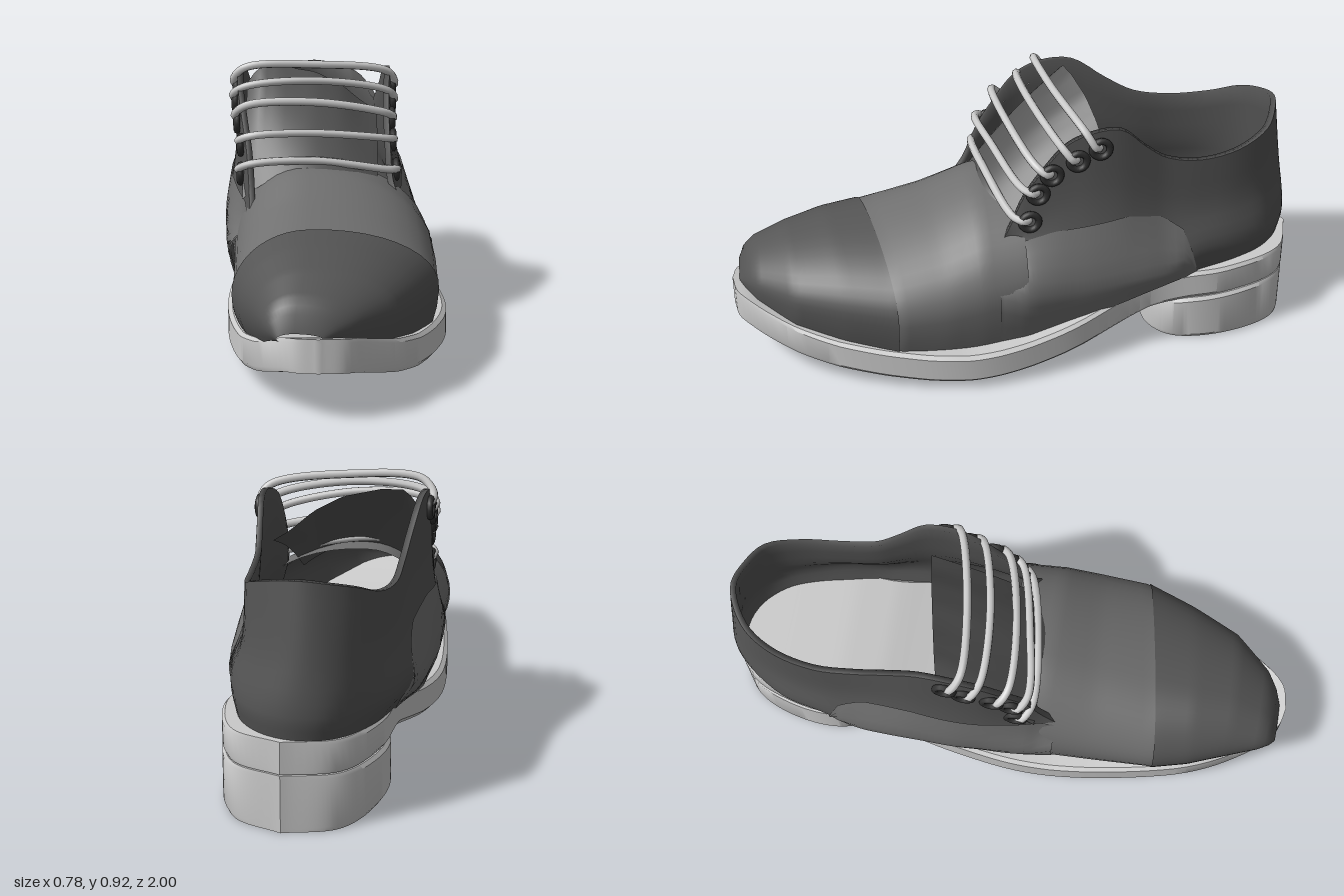
import * as THREE from 'three';
import { toCreasedNormals } from 'three/addons/utils/BufferGeometryUtils.js';

const { lerp } = THREE.MathUtils;
const V = (x, y, z) => new THREE.Vector3(x, y, z);
const spline = pts => new THREE.CatmullRomCurve3(pts);

// Rows [z, a, b, ...] with falling z, interpolated at z
function lookup(rows, z) {
  if (z >= rows[0][0]) return rows[0].slice(1);
  for (let i = 1; i < rows.length; i++) {
    const [a, b] = [rows[i - 1], rows[i]];
    if (z >= b[0]) return a.slice(1).map((v, k) => lerp(v, b[k + 1], (a[0] - z) / (a[0] - b[0])));
  }
  return rows[rows.length - 1].slice(1);
}

// Surface from a rule fn(u, v) -> Vector3
function grid(fn, nu, nv) {
  const g = new THREE.PlaneGeometry(1, 1, nu, nv), p = g.attributes.position;
  for (let j = 0, k = 0; j <= nv; j++)
    for (let i = 0; i <= nu; i++, k++) p.setXYZ(k, ...fn(i / nu, j / nv).toArray());
  g.computeVertexNormals();
  return g;
}

const soleRows = [[1, .157], [.95, .147], [.9, .128], [.8, .095], [.65, .063], [.5, .043], [.35, .03], [.2, .024], [.1, .03],
  [0, .041], [-.1, .058], [-.2, .08], [-.32, .112], [-.45, .15], [-.6, .175], [-.8, .187], [-1, .195]];
const soleBottom = z => lookup(soleRows, z)[0];
const soleTop = z => soleBottom(z) + .108;

// Slab between two outlines of [x, z] points that share their end points
function slab(left, right, top, bottom) {
  const [L, R] = [left, right].map(a => spline(a.map(([x, z]) => V(x, 0, z))));
  const ring = [[0, .015, 0], [.02, 0, 0], [.5, 0, 0], [.98, 0, 0], [1, .015, 0], [1, -.012, 1],
    [.98, 0, 1], [.02, 0, 1], [0, -.012, 1], [0, .015, 0]];
  const g = grid((u, v) => {
    const [k, dy, up] = ring[Math.round(u * (ring.length - 1))];
    const p = L.getPoint(v).lerp(R.getPoint(v), k);
    p.y = (up ? top(p.z) : bottom(p.z)) + dy;
    return p;
  }, ring.length - 1, 72);
  return toCreasedNormals(g, .6);
}

// Arched sections of the front: [z, left x, right x, top y]
const archRows = [[.975, -.15, -.02, .27], [.96, -.17, .02, .32], [.92, -.195, .085, .365], [.8, -.235, .205, .42],
  [.65, -.285, .285, .455], [.5, -.318, .35, .472], [.3, -.33, .35, .525], [.15, -.34, .342, .585], [0, -.36, .325, .6]];
function arch(u, z, grow = 0) {
  const [xl, xr, top] = lookup(archRows, z);
  const base = soleTop(z) - .01, wide = lerp(base, top, .38);
  const a = Math.PI * lerp(1.18, -.1, u), c = Math.cos(a), s = Math.sin(a);
  const ax = lerp(xl, xr, .36);
  const x = ax + (c > 0 ? xr - ax : ax - xl) * c;
  const y = s > 0 ? wide + (top - wide + grow) * s : wide + (wide - base) * s / Math.sin((c > 0 ? .1 : .18) * Math.PI);
  const skew = Math.max(0, 1 - Math.abs(z - .515) / .4);
  return V(x + c * grow, y, z - .17 * x * skew);
}

// Side walls: [z, top y, left mid x, left top x, right mid x, right top x]
const sideRows = [
  [.1, .46, .335, .235, -.35, -.285], [.05, .53, .333, .205, -.358, -.29], [0, .64, .33, .195, -.367, -.3],
  [-.07, .74, .315, .19, -.375, -.32], [-.15, .83, .3, .19, -.38, -.338], [-.24, .87, .29, .195, -.388, -.345],
  [-.33, .87, .28, .19, -.388, -.342], [-.42, .79, .268, .175, -.388, -.33], [-.5, .73, .25, .16, -.383, -.325],
  [-.62, .705, .215, .15, -.367, -.325], [-.76, .72, .175, .125, -.335, -.3]];
// Heel end: [mid x, mid z, top x, top y, top z]
const heelCols = [[.12, -.88, .07, .76, -.87], [.03, -.96, -.02, .785, -.92], [-.07, -.99, -.1, .795, -.94],
  [-.17, -.97, -.17, .785, -.92], [-.25, -.9, -.25, .76, -.86]];
const sideCol = ([z, ty, lm, lt, rm, rt], right) => {
  const zz = right ? z + .1 * THREE.MathUtils.smoothstep(z, -.6, -.2) : z;
  return right ? [rm, zz, rt, ty, zz] : [lm, zz, lt, ty, zz];
};
const cols = [...sideRows.map(r => sideCol(r, false)), ...heelCols, ...sideRows.map(r => sideCol(r, true)).reverse()];
const rails = [
  cols.map(([x, z]) => V(lerp(x, -.05, x < -.3 ? .17 : .07), soleTop(z) - .01, z < -.8 ? z * .985 : z)),
  cols.map(([x, z]) => V(x, z < -.6 ? .38 : .33, z)),
  cols.map(([x, z, tx, ty, tz]) => V(lerp(x, tx, .76), lerp(.33, ty, .5), lerp(z, tz, .4))),
  cols.map(([, , tx, ty, tz]) => V(tx, ty, tz)),
].map(spline);
const wall = (s, t) => spline(rails.map(r => r.getPoint(s))).getPoint(t);

// Wall point nearest to a height and depth, on one side
function wallNear(y, z, right) {
  let best = null, d = 9;
  for (let i = 0; i <= 50; i++) for (let j = 10; j <= 40; j++) {
    const s = i / 125, p = wall(right ? 1 - s : s, j / 40), e = Math.hypot(p.y - y, p.z - z);
    if (e < d) { d = e; best = p; }
  }
  return best;
}

// Share of the wall's profile lying below a height
function wallShare(s, y) {
  let [a, b] = [0, 1];
  for (let i = 0; i < 12; i++) wall(s, (a + b) / 2).y < y ? a = (a + b) / 2 : b = (a + b) / 2;
  return b;
}

export function createModel() {
  const shoe = new THREE.Group();
  const mat = (color, side = THREE.FrontSide) => new THREE.MeshStandardMaterial({ color, side });
  const white = mat(0xffffff), pale = mat(0xd8d8d8);
  const dark = mat(0x555555, THREE.DoubleSide);
  const mid = mat(0x707070, THREE.DoubleSide);
  const ringMat = mat(0x303030);
  const add = (name, geo, material) => {
    const m = new THREE.Mesh(geo, material);
    m.name = name;
    shoe.add(m);
    return m;
  };

  // Sole and heel block
  add('sole', slab(
    [[-.03, 1], [-.11, .975], [-.25, .76], [-.33, .45], [-.367, .12], [-.35, -.15], [-.31, -.45], [-.305, -.72], [-.22, -.93], [-.04, -1]],
    [[-.03, 1], [.07, .975], [.24, .76], [.35, .45], [.388, .18], [.335, -.12], [.22, -.45], [.215, -.72], [.13, -.93], [-.04, -1]],
    soleTop, soleBottom), white);
  add('heel', slab(
    [[-.05, -.46], [-.2, -.468], [-.29, -.54], [-.305, -.72], [-.22, -.93], [-.04, -1]],
    [[-.05, -.46], [.11, -.468], [.2, -.54], [.215, -.72], [.13, -.93], [-.04, -1]],
    z => soleBottom(z) - .004, () => 0), white);

  // Toe cap and vamp
  add('toeCap', grid((u, v) => arch(u, lerp(.975, .505, v), .004), 28, 24), dark);
  add('vamp', grid((u, v) => arch(u, lerp(.52, 0, v)), 28, 18), mid);

  // Quarters wrapping round the heel, with a rim and lining inside
  add('quarters', grid((u, v) => wall(u, v), 104, 12), dark);
  add('lining', grid((u, v) => {
    const p = wall(u, v === 0 ? 1 : 1 - (v - .1) / .9);
    const inward = V(-.08 - p.x, 0, Math.max(-.65, p.z) - p.z).normalize();
    return v === 0 ? p : p.addScaledVector(inward, .02);
  }, 104, 10), dark);

  // Vamp wings lying over the lower front of the quarters
  const wingRows = [[.1, .45], [.05, .475], [-.1, .52], [-.35, .55], [-.48, .52], [-.56, .46], [-.59, .38], [-.62, .26]];
  for (const right of [false, true]) {
    add(right ? 'rightWing' : 'leftWing', grid((u, v) => {
      const k = u * 9 / (cols.length - 1), s = right ? 1 - k : k;
      const p = wall(s, v * wallShare(s, lookup(wingRows, rails[3].getPoint(k).z)[0]));
      p.x += right ? -.006 : .006;
      return p;
    }, 36, 8), mid);
  }

  // Tongue
  const tongueTop = [[1, .71], [.88, .745], [.72, .81], [.52, .86], [.25, .885], [.08, .882], [0, .83]];
  add('tongue', grid((u, v) => {
    const y0 = .58 - .1 * (2 * u - 1) ** 2;
    return V(lerp(-.315, .15, u), lerp(y0, lookup(tongueTop, u)[0], v) + .02 * Math.sin(Math.PI * v),
      lerp(.13, lerp(-.2, -.31, u), v));
  }, 20, 10), dark);

  // Eyelets and laces: [eyelet z, eyelet y, left y, middle y, right y]
  const rows = [[-.025, .55, .565, .61, .6], [-.04, .655, .67, .7, .695], [-.1, .72, .75, .8, .79],
    [-.185, .78, .815, .86, .84], [-.265, .82, .87, .905, .897]];
  const eyelet = new THREE.TorusGeometry(.03, .012, 8, 20);
  rows.forEach(([z, y, yl, ym, yr]) => {
    const l = wallNear(y, z, false), r = wallNear(y, z + .09, true);
    for (const [p, dx] of [[l, .006], [r, -.006]]) {
      const e = add('eyelet', eyelet, ringMat);
      e.position.set(p.x + dx, p.y, p.z);
      e.rotation.y = Math.PI / 2;
    }
    const path = spline([
      V(l.x - .012, l.y, l.z), V(l.x + .012, l.y + .006, l.z + .015), V(l.x - .012, yl, l.z + .05),
      V(-.07, ym, l.z + .12), V(r.x + .03, yr, r.z + .05),
      V(r.x - .014, lerp(r.y, yr, .4), r.z + .02), V(r.x + .012, r.y, r.z)]);
    add('lace', new THREE.TubeGeometry(path, 48, .014, 8), pale);
  });
  return shoe;
}
